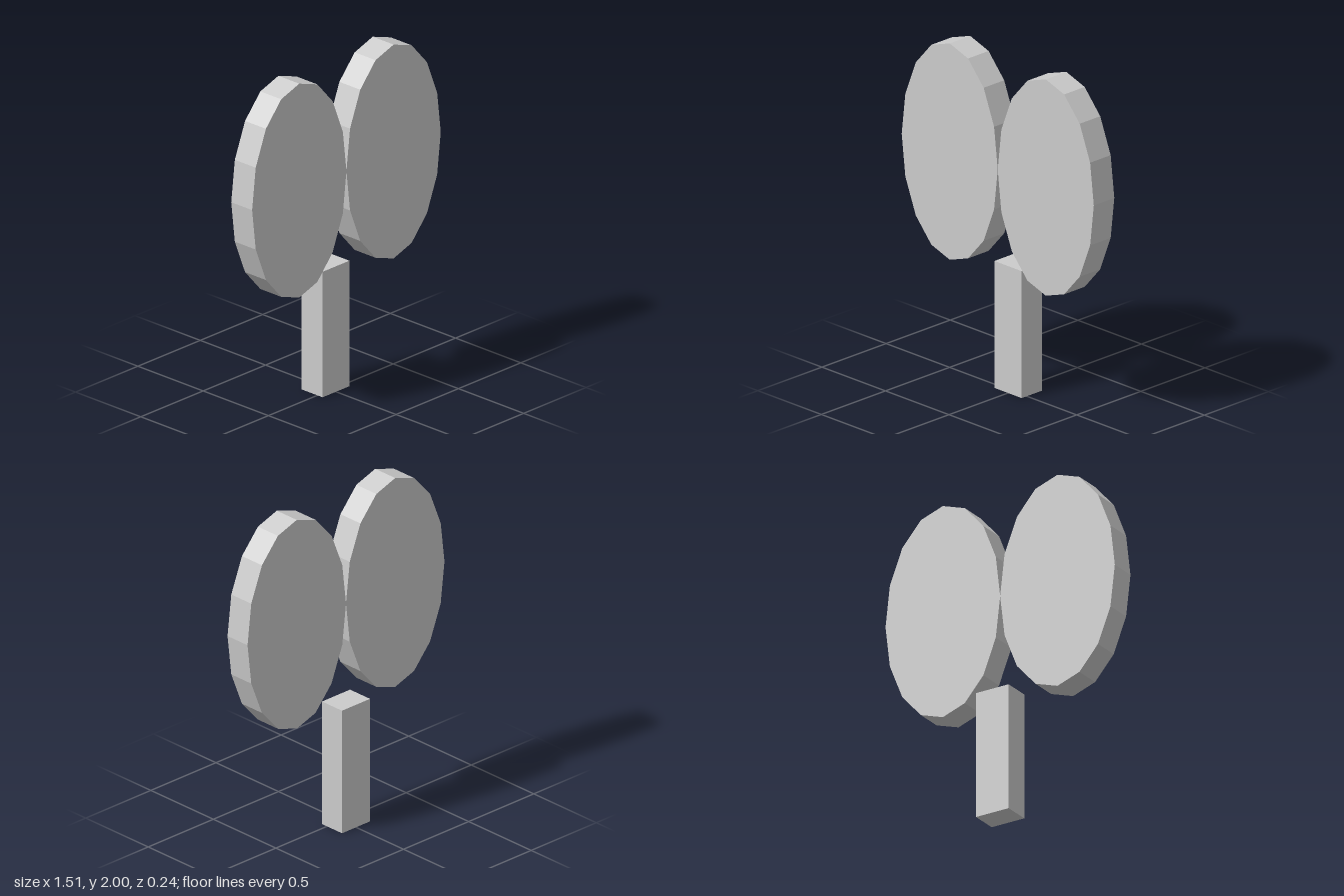
import * as THREE from 'three';

export function createModel() {
  const model = new THREE.Group();
  const material = new THREE.MeshStandardMaterial({ color: 0xcccccc, flatShading: true });
  const thickness = 0.16;
  const rx = 0.378, ry = 0.645;

  // Pair of faceted oval discs, touching at the centre line
  for (const [name, side] of [['leftOval', 1], ['rightOval', -1]]) {
    const geometry = new THREE.CylinderGeometry(1, 1, thickness, 16);
    geometry.rotateX(Math.PI / 2);
    geometry.scale(rx, ry, 1);
    const oval = new THREE.Mesh(geometry, material);
    oval.name = name;
    oval.position.set(side * rx, 2 - ry, 0.04);
    model.add(oval);
  }

  // Upright post, set towards the back
  const height = 0.757;
  const post = new THREE.Mesh(new THREE.BoxGeometry(0.215, height, thickness), material);
  post.name = 'post';
  post.position.set(0, height / 2, -0.04);
  model.add(post);

  return model;
}
